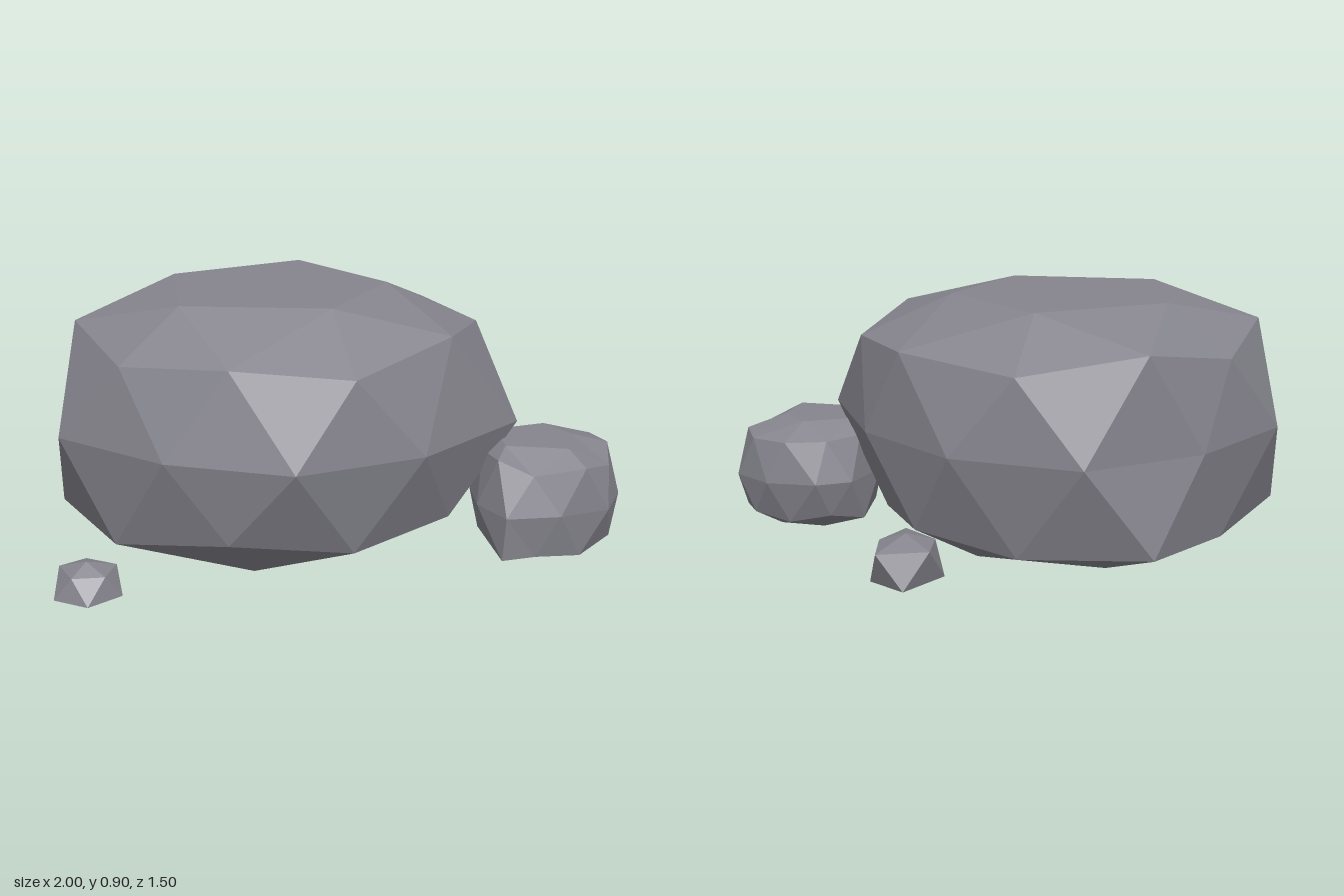
import * as THREE from 'three';

// Pairs a flat list of x, z with heights (one number or one per point)
const ring = (xz, y) => Array.from({ length: xz.length / 2 }, (_, i) =>
  [xz[2 * i], Array.isArray(y) ? y[i] : y, xz[2 * i + 1]]);

// Average point of a ring, used as the centre of a flat cap
const centre = r => [0, 1, 2].map(a => r.reduce((s, p) => s + p[a], 0) / r.length);

function faceted(name, tris, material) {
  const geo = new THREE.BufferGeometry();
  geo.setAttribute('position', new THREE.Float32BufferAttribute(tris.flat(2), 3));
  geo.computeVertexNormals();
  const mesh = new THREE.Mesh(geo, material);
  mesh.name = name;
  return mesh;
}

// Half of a boulder: flat five-sided cap, shoulder ring of ten, middle ring of ten
function half(five, ten, middle, shift, flip) {
  const tris = [];
  const add = (a, b, c) => tris.push(flip ? [a, c, b] : [a, b, c]);
  const c = centre(five);
  for (let k = 0; k < 5; k++) {
    const t = i => ten[(2 * k + shift + i + 10) % 10];
    const p = five[k], next = five[(k + 1) % 5];
    add(c, next, p);
    add(p, t(0), t(-1));
    add(p, t(1), t(0));
    add(p, next, t(1));
  }
  for (let j = 0; j < 10; j++) {
    add(ten[j], middle[j], middle[(j + 9) % 10]);
    add(ten[j], ten[(j + 1) % 10], middle[j]);
  }
  return tris;
}

const boulder = (name, r, material) => faceted(name, [
  ...half(r.top, r.shoulder, r.middle, 0, false),
  ...half(r.bottom, r.foot, r.middle, 1, true),
], material);

// Twenty-sided pebble: two rings of five between two points
function pebble(name, top, upper, lower, bottom, material) {
  const tris = [];
  for (let k = 0; k < 5; k++) {
    const n = (k + 1) % 5;
    tris.push([top, upper[n], upper[k]], [upper[k], upper[n], lower[k]],
      [upper[n], lower[n], lower[k]], [bottom, lower[k], lower[n]]);
  }
  return faceted(name, tris, material);
}

export function createModel() {
  const group = new THREE.Group();
  group.name = 'rockCluster';
  const stone = new THREE.MeshStandardMaterial({ color: 0x86858e });
  stone.name = 'grey stone';
  stone.flatShading = true;

  // Main boulder
  group.add(boulder('largeBoulder', {
    top: ring([0.2, 0, -0.04, 0.35, -0.55, 0.25, -0.54, -0.22, -0.07, -0.38], 0.905),
    shoulder: ring([0.525, 0.01, 0.36, 0.41, 0, 0.65, -0.41, 0.57, -0.76, 0.37,
      -0.9, 0.01, -0.74, -0.38, -0.43, -0.635, 0.01, -0.63, 0.39, -0.33],
    [0.755, 0.81, 0.74, 0.765, 0.735, 0.805, 0.74, 0.81, 0.74, 0.765]),
    middle: ring([0.625, 0.27, 0.24, 0.61, -0.21, 0.745, -0.63, 0.57, -0.97, 0.25,
      -0.94, -0.21, -0.63, -0.56, -0.21, -0.75, 0.23, -0.57, 0.51, -0.21], 0.455),
    foot: ring([0.44, 0.01, 0.36, 0.4, 0, 0.61, -0.42, 0.61, -0.79, 0.36,
      -0.965, 0, -0.72, -0.38, -0.45, -0.7, 0, -0.6, 0.34, -0.38],
    [0.12, 0.16, 0.125, 0.17, 0.1, 0.14, 0.11, 0.13, 0.11, 0.15]),
    bottom: ring([0.12, 0.23, -0.32, 0.42, -0.62, 0, -0.32, -0.38, 0.12, -0.23], 0),
  }, stone));

  // Smaller boulder leaning on its left
  group.add(boulder('mediumBoulder', {
    top: ring([0.82, 0.28, 0.77, 0.44, 0.56, 0.38, 0.57, 0.19, 0.75, 0.15], 0.403),
    shoulder: ring([0.96, 0.25, 0.92, 0.42, 0.81, 0.53, 0.63, 0.52, 0.52, 0.45,
      0.5, 0.29, 0.54, 0.13, 0.66, 0.05, 0.81, 0.04, 0.93, 0.12],
    [0.358, 0.33, 0.36, 0.335, 0.375, 0.36, 0.355, 0.35, 0.35, 0.35]),
    middle: ring([0.98, 0.35, 0.9, 0.51, 0.72, 0.56, 0.53, 0.56, 0.46, 0.4,
      0.47, 0.22, 0.57, 0.04, 0.7, 0, 0.88, 0.04, 0.995, 0.17], 0.2),
    foot: ring([0.97, 0.26, 0.93, 0.42, 0.8, 0.52, 0.64, 0.54, 0.52, 0.55,
      0.49, 0.28, 0.53, 0.12, 0.65, 0.05, 0.8, 0.06, 0.93, 0.12],
    [0.06, 0.07, 0.04, 0.05, 0.045, 0.07, 0.04, 0.07, 0.045, 0.07]),
    bottom: ring([0.84, 0.36, 0.68, 0.42, 0.58, 0.28, 0.68, 0.15, 0.84, 0.2], 0),
  }, stone));

  // Loose pebbles
  group.add(pebble('frontPebble', [-0.89, 0.14, 0.6],
    ring([-0.79, 0.55, -0.83, 0.66, -0.94, 0.66, -0.98, 0.54, -0.89, 0.485], 0.105),
    ring([-0.775, 0.64, -0.89, 0.725, -1, 0.65, -0.96, 0.51, -0.83, 0.5], 0.028),
    [-0.89, 0, 0.6], stone));
  group.add(pebble('backPebble', [0.37, 0.19, -0.54],
    ring([0.46, -0.5, 0.37, -0.375, 0.27, -0.5, 0.29, -0.64, 0.47, -0.66], 0.155),
    ring([0.44, -0.41, 0.29, -0.44, 0.24, -0.54, 0.38, -0.695, 0.49, -0.58], 0.035),
    [0.37, 0, -0.54], stone));

  return group;
}
